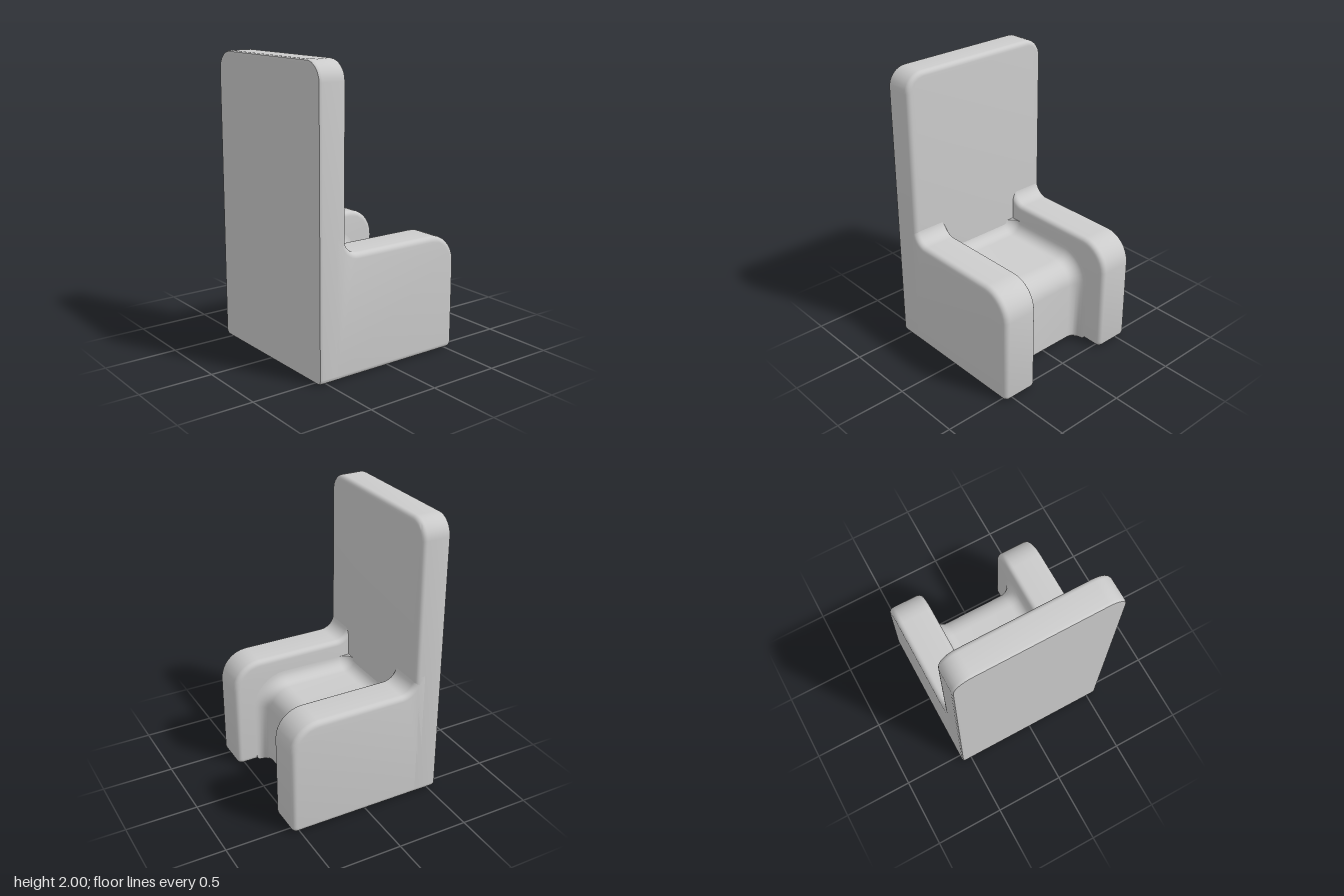
import * as THREE from 'three';
import { toCreasedNormals } from 'three/addons/utils/BufferGeometryUtils.js';

const material = new THREE.MeshStandardMaterial({ color: 0xcccccc });

// Closed outline from [x, y, cornerRadius] points, each right-angled corner rounded
function roundedShape(points) {
  const shape = new THREE.Shape();
  const n = points.length;
  points.forEach(([x, y, r], i) => {
    const p = new THREE.Vector2(x, y);
    const toward = (q, d) => p.clone().add(new THREE.Vector2(q[0] - x, q[1] - y).setLength(d));
    const prev = points[(i + n - 1) % n], next = points[(i + 1) % n];
    const a = toward(prev, r), b = toward(next, r);
    const ca = toward(prev, r * 0.448), cb = toward(next, r * 0.448);
    if (i === 0) shape.moveTo(a.x, a.y);
    else shape.lineTo(a.x, a.y);
    shape.bezierCurveTo(ca.x, ca.y, cb.x, cb.y, b.x, b.y);
  });
  shape.closePath();
  return shape;
}

// Extrusion with soft edges, lying between 0 and depth
function softExtrude(shape, depth, bevel) {
  return new THREE.ExtrudeGeometry(shape, {
    depth: depth - 2 * bevel, curveSegments: 8, bevelEnabled: true, bevelSegments: 5,
    bevelSize: bevel, bevelThickness: bevel, bevelOffset: -bevel,
  }).translate(0, 0, bevel);
}

function addMesh(group, name, geometry) {
  const mesh = new THREE.Mesh(toCreasedNormals(geometry, 0.7), material);
  mesh.name = name;
  group.add(mesh);
}

// Seat profile as [z, y, normalZ, normalY], from the underside round to the backrest
function seatProfile() {
  const profile = [[0.42, 0, 0, 0], [-0.3, 0, -1, 0], [-0.32, 0.02, -1, 0]];
  const front = 0.15, cove = 0.085;
  for (let i = 0; i <= 8; i++) {
    const t = (i / 8) * Math.PI / 2, c = Math.cos(t), s = Math.sin(t);
    profile.push([-0.32 + front * (1 - c), 0.6 - front * (1 - s), -c, s]);
  }
  for (let i = 0; i <= 6; i++) {
    const t = (i / 6) * Math.PI / 2, c = Math.cos(t), s = Math.sin(t);
    profile.push([0.36 - cove * (1 - s), 0.6 + cove * (1 - c), -s, c]);
  }
  profile.push([0.42, 0.6 + cove, 0, 0]);
  return profile;
}

// Seat swept across x, swelling outward in a cove where it meets each arm
function seatGeometry() {
  const half = 0.31, r = 0.085, right = [];
  for (let i = 0; i <= 7; i++) {
    const t = (i / 7) * Math.PI / 2;
    right.push([half - r + r * Math.sin(t), r * (1 - Math.cos(t))]);
  }
  right.push([0.36, r]);
  const sections = [...right.map(([x, o]) => [-x, o]).reverse(), ...right];
  const profile = seatProfile();
  const n = profile.length;
  const positions = [], index = [];
  sections.forEach(([x, o], i) => {
    for (const [z, y, nz, ny] of profile) positions.push(x, y + ny * o, z + nz * o);
    if (i === 0) return;
    for (let j = 0; j < n - 1; j++) {
      const a = (i - 1) * n + j, b = i * n + j;
      index.push(a, a + 1, b, b, a + 1, b + 1);
    }
  });
  const g = new THREE.BufferGeometry();
  g.setAttribute('position', new THREE.Float32BufferAttribute(positions, 3));
  g.setIndex(index);
  // Corners run so that the outward side faces front
  const [ax, bx] = [sections[0][0], sections[1][0]];
  if (bx < ax) index.reverse();
  g.computeVertexNormals();
  return g;
}

export function createModel() {
  const group = new THREE.Group();
  group.name = 'armchair';

  // Tall backrest; its outer face has a crisper edge than the seat side
  const back = softExtrude(roundedShape([
    [-0.57, 0, 0.035], [0.57, 0, 0.035], [0.57, 2, 0.13], [-0.57, 2, 0.13],
  ]), 0.21, 0.032).translate(0, 0, 0.355);
  const p = back.attributes.position;
  for (let i = 0; i < p.count; i++) p.setZ(i, Math.min(p.getZ(i), 0.553));
  addMesh(group, 'backrest', back);

  // Arms, with a cove running up into the backrest
  const armShape = roundedShape([
    [-0.46, 0, 0.04], [0.553, 0, 0.04], [0.553, 0.81, 0.2],
    [-0.357, 0.81, 0.1], [-0.357, 0.96, 0.035], [-0.46, 0.96, 0.04],
  ]);
  for (const [name, x] of [['leftArm', 0.31], ['rightArm', -0.57]]) {
    addMesh(group, name, softExtrude(armShape, 0.26, 0.036).rotateY(Math.PI / 2).translate(x, 0, 0));
  }

  addMesh(group, 'seat', seatGeometry());
  return group;
}
